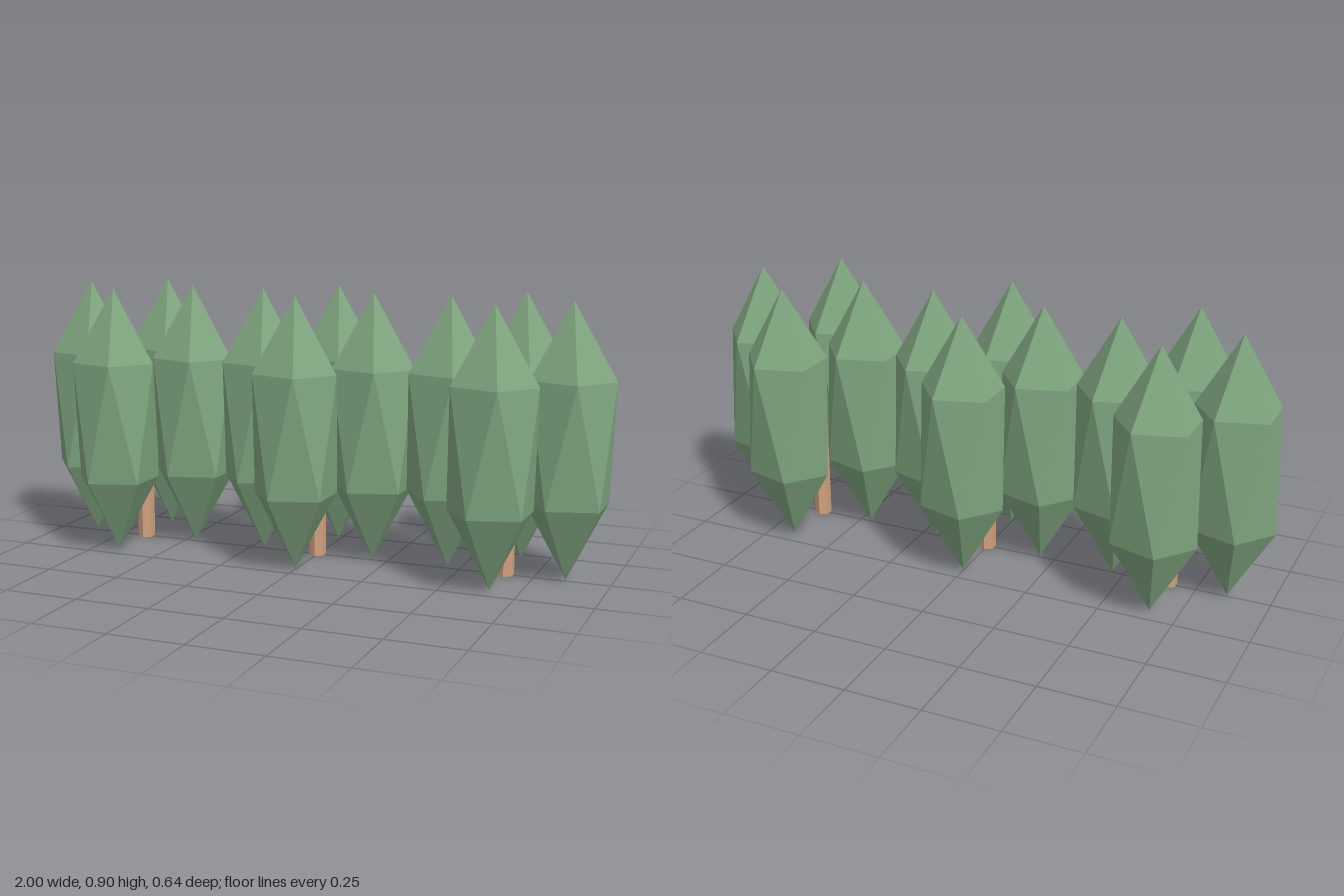
import * as THREE from 'three';

const foliageGreen = new THREE.MeshStandardMaterial({ color: 0x80a680, flatShading: true });
foliageGreen.name = 'foliage green';
const trunkBrown = new THREE.MeshStandardMaterial({ color: 0xd2a27e, flatShading: true });
trunkBrown.name = 'trunk brown';

const TREE_SPACING = 0.657;
const LEAF_OFFSET = 0.197;
const TRUNK_HEIGHT = 0.5;

// Stretched icosahedron standing on one corner
function leafGeometry() {
  const golden = (1 + Math.sqrt(5)) / 2;
  const geometry = new THREE.IcosahedronGeometry(1, 0);
  geometry.rotateZ(-Math.atan(1 / golden));
  geometry.scale(0.161, 0.4475, 0.1455);
  geometry.translate(0, 0.4525, 0);
  return geometry;
}

export function createModel() {
  const model = new THREE.Group();
  model.name = 'treeRow';

  const leafShape = leafGeometry();
  const trunkShape = new THREE.CylinderGeometry(0.029, 0.029, TRUNK_HEIGHT, 6);
  trunkShape.translate(0, TRUNK_HEIGHT / 2, 0);

  // Each tree: a thin trunk surrounded by four foliage clumps
  const clumps = [
    ['leftFoliage', 1, 0],
    ['rightFoliage', -1, 0],
    ['frontFoliage', 0, 1],
    ['backFoliage', 0, -1],
  ];
  [['rightTree', -1], ['middleTree', 0], ['leftTree', 1]].forEach(([treeName, i]) => {
    const tree = new THREE.Group();
    tree.name = treeName;
    tree.position.x = i * TREE_SPACING;

    const trunk = new THREE.Mesh(trunkShape, trunkBrown);
    trunk.name = 'trunk';
    tree.add(trunk);

    for (const [name, dx, dz] of clumps) {
      const foliage = new THREE.Mesh(leafShape, foliageGreen);
      foliage.name = name;
      foliage.position.set(dx * LEAF_OFFSET, 0, dz * LEAF_OFFSET);
      tree.add(foliage);
    }
    model.add(tree);
  });

  return model;
}
